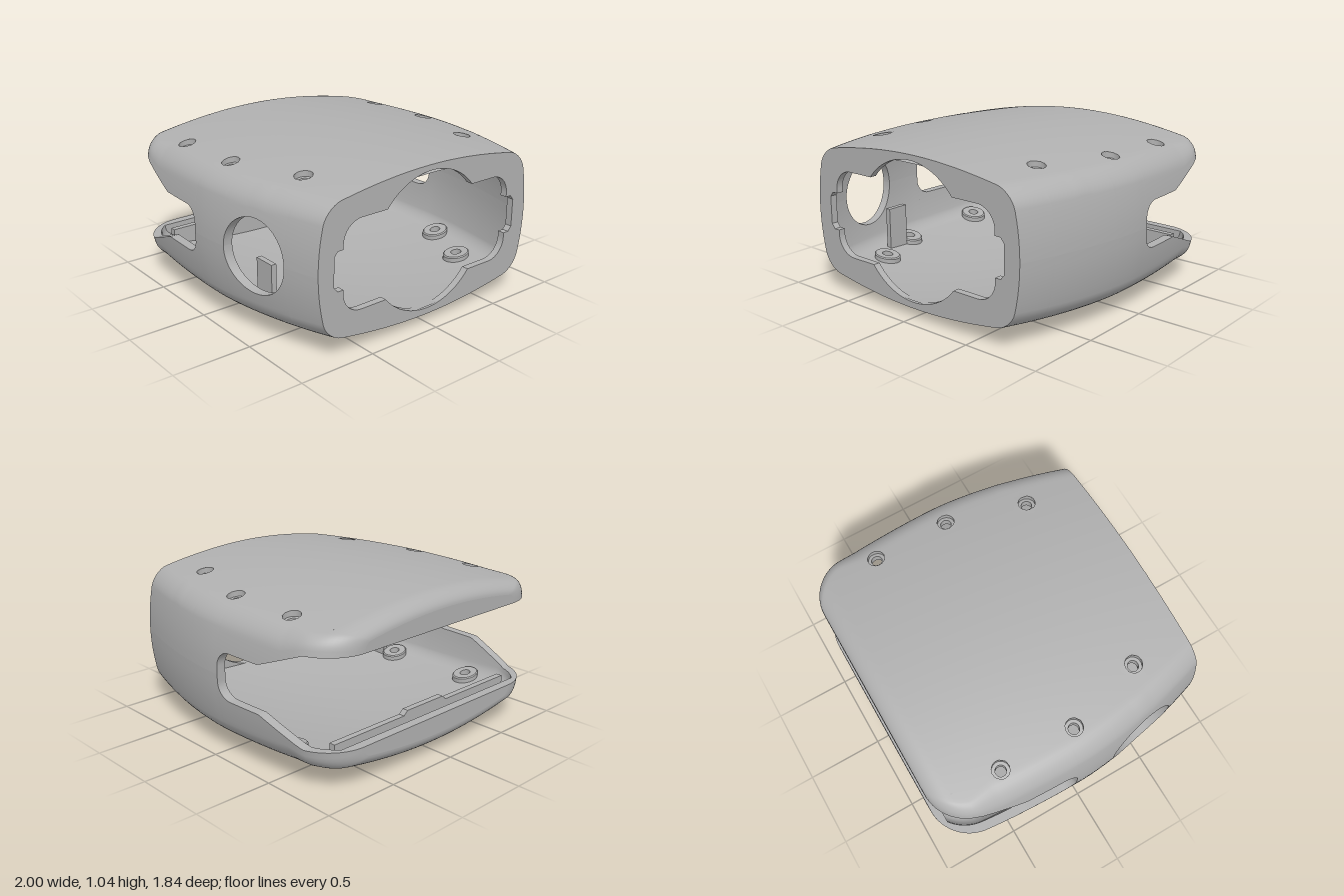
import * as THREE from 'three';

const shellGray = new THREE.MeshStandardMaterial({ color: 0xb0b0b0, side: THREE.DoubleSide });
shellGray.name = 'shell gray';

const MID = 0.54;                       // height of the parting plane
const NOTCH = -0.05;                    // front end of the rear notch
const PORT = { z: 0.467, r: 0.232 };    // round port in the -x wall
const WALL = 0.06, SKIN = 0.05, REAR = -0.86;

// quarter-round falloff used where the shell curls in at the back
const curl = (z, start, len, depth) => {
  const k = Math.min(1, Math.max(0, (-z - start) / len));
  return depth * (1 - Math.sqrt(1 - k * k));
};
const halfWidth = z => z > 0
  ? 1 - 0.175 * (z / 0.92) ** 1.7
  : 1 - 0.06 * (z / 0.92) ** 2 - curl(z, 0.67, 0.25, 0.25);
const halfHeight = (z, s) => (s > 0 ? 0.505 : 0.535)
  - (s > 0 ? 0.035 : 0.06) * (z / 0.92) ** 2 - curl(z, 0.8, 0.12, 0.08);
const skinY = (x, z, s, t) => MID + s * (halfHeight(z, s) - t - 0.12 * (1.075 * x) ** 2);

// half height of the notch opening
function notchGap(z) {
  if (z > NOTCH) return 0;
  if (z > -0.15) return 0.05 + Math.sqrt(Math.max(0, 0.01 - (z + 0.15) ** 2));
  if (z > -0.4) return 0.15;
  return Math.min(0.275, 0.15 + (-0.4 - z) * 0.39);
}

// stations along z: [z, gap on +x, gap on -x]
function makeStations() {
  const list = [];
  const run = (a, b, n) => {
    for (let i = 0; i < n; i++) {
      const z = a + (b - a) * i / n;
      list.push([z, notchGap(z), notchGap(z)]);
    }
  };
  run(0.92, PORT.z + PORT.r, 11);
  for (let i = 0; i < 32; i++) {
    const a = Math.PI * i / 32;
    list.push([PORT.z + PORT.r * Math.cos(a), 0, PORT.r * Math.sin(a)]);
  }
  run(PORT.z - PORT.r, NOTCH, 14);
  list.push([NOTCH, 0, 0]);
  for (let i = 0; i < 8; i++) {
    const a = Math.PI / 2 * i / 8, g = 0.05 + 0.1 * Math.sin(a);
    list.push([-0.15 + 0.1 * Math.cos(a), g, g]);
  }
  run(-0.15, -0.72, 28);
  for (let i = 0; i <= 14; i++) {
    const z = -0.72 - 0.2 * Math.sin(Math.PI / 2 * i / 14);
    list.push([z, 0.275, 0.275]);
  }
  return list;
}

// one half section (s = 1 upper, -1 lower), running from +x over to -x
function section([z0, gPos, gNeg], s, inner) {
  const z = inner ? Math.max(z0, REAR) : z0;
  const W = halfWidth(z) - (inner ? WALL : 0);
  const H = halfHeight(z, s) - (inner ? SKIN : 0);
  const D = 0.12 * W * W;
  const r = Math.min(inner ? 0.06 : 0.1, (H - D - Math.max(gPos, gNeg)) * 0.6);
  const pts = [];
  const add = (px, py) => {
    const dy = py - 0.12 * px * px;
    pts.push(new THREE.Vector3(px * (1 - 0.4 * dy * dy / W), MID + s * dy, z));
  };
  const SIDE = 6, ARC = 7, TOP = 76;
  for (let i = 0; i < SIDE; i++) add(W, gPos + D + (H - r - gPos - D) * i / SIDE);
  for (let i = 0; i < ARC; i++) {
    const a = Math.PI / 2 * i / ARC;
    add(W - r + r * Math.cos(a), H - r + r * Math.sin(a));
  }
  for (let i = 0; i <= TOP; i++) add((W - r) * (1 - 2 * i / TOP), H);
  for (let i = ARC - 1; i >= 0; i--) {
    const a = Math.PI / 2 * i / ARC;
    add(-(W - r + r * Math.cos(a)), H - r + r * Math.sin(a));
  }
  for (let i = SIDE - 1; i >= 0; i--) add(-W, gNeg + D + (H - r - gNeg - D) * i / SIDE);
  return pts;
}

// surface over rows of points; triangles whose corners are all cut are dropped
function gridGeometry(rows, flip, isCut = () => false, skipRow = () => false) {
  const n = rows[0].length, index = [];
  const tri = (a, b, c) => {
    if (!(isCut(a) && isCut(b) && isCut(c))) index.push(...(flip ? [a, c, b] : [a, b, c]));
  };
  for (let i = 0; i < rows.length - 1; i++) {
    if (skipRow(i)) continue;
    for (let j = 0; j < n - 1; j++) {
      const a = i * n + j, b = a + n;
      tri(a, b, a + 1);
      tri(b, b + 1, a + 1);
    }
  }
  const g = new THREE.BufferGeometry().setFromPoints(rows.flat());
  g.setIndex(index);
  g.computeVertexNormals();
  return g;
}

const screwSpots = s => [[0.78, -0.47], [0.78, s > 0 ? 0.03 : 0.19], [0.63, 0.54]]
  .flatMap(([x, z]) => [[x, z], [-x, z]]);

// push points out of each screw hole so its edge becomes a true circle
function cutScrews(rows, s, inner) {
  const R = 0.055, cut = new Set();
  rows.flat().forEach((p, k) => {
    for (const [x, z] of screwSpots(s)) {
      const dx = p.x - x, dz = p.z - z, d = Math.hypot(dx, dz);
      if (d >= R) continue;
      cut.add(k);
      const f = R / Math.max(d, 1e-4);
      p.set(x + (d < 1e-4 ? R : dx * f), 0, z + dz * f);
      p.y = skinY(p.x, p.z, s, inner ? SKIN : 0);
    }
  });
  return k => cut.has(k);
}

// opening of the front panel: slot with side steps and a round middle
function frontOpening() {
  const path = new THREE.Path(), R = 0.435, h = 0.277, a = Math.asin(h / R);
  const corner = (sx, sy) => [
    [0.65, 0.12], [0.69, 0.12], [0.715, 0.09]].map(([x, y]) => [sx * x, MID + sy * y]);
  const link = pts => pts.forEach(([x, y]) => path.lineTo(x, y));
  path.moveTo(0.715, MID);
  link(corner(1, 1).reverse());
  path.absarc(0.52, MID + h - 0.13, 0.13, 0, Math.PI / 2, false);
  path.absarc(0, MID, R, a, Math.PI - a, false);
  path.absarc(-0.52, MID + h - 0.13, 0.13, Math.PI / 2, Math.PI, false);
  link(corner(-1, 1));
  link(corner(-1, -1).reverse());
  path.absarc(-0.52, MID - h + 0.13, 0.13, Math.PI, Math.PI * 1.5, false);
  path.absarc(0, MID, R, Math.PI + a, Math.PI * 2 - a, false);
  path.absarc(0.52, MID - h + 0.13, 0.13, Math.PI * 1.5, Math.PI * 2, false);
  link(corner(1, -1));
  path.closePath();
  return path;
}

// recessed screw seat with its collar inside the shell, following the skin
function screwSeat(x, z, s) {
  const profile = [[0.055, 0], [0.055, 0.035], [0.034, 0.035], [0.034, 0.085], [0.078, 0.085], [0.085, 0.078], [0.085, 0.03]]
    .map(p => new THREE.Vector2(...p));
  // repeat corner points so the edges stay sharp
  const sharp = profile.flatMap(p => [p, p.clone()]).slice(1, -1);
  const g = new THREE.LatheGeometry(sharp, 28).toNonIndexed();
  const pos = g.attributes.position;
  for (let i = 0; i < pos.count; i++) {
    const px = x + pos.getX(i), pz = z + pos.getZ(i);
    pos.setXYZ(i, px, skinY(px, pz, s, 0) - s * pos.getY(i), pz);
  }
  g.computeVertexNormals();
  return g;
}

export function createModel() {
  const model = new THREE.Group();
  model.name = 'housing';
  const add = (name, geometry, parent = model) => {
    const m = new THREE.Mesh(geometry, shellGray);
    m.name = name;
    parent.add(m);
    return m;
  };
  const stations = makeStations();

  for (const s of [1, -1]) {
    const half = new THREE.Group();
    half.name = s > 0 ? 'upperShell' : 'lowerShell';
    model.add(half);

    // outer and inner skins
    const outer = stations.map(t => section(t, s, false));
    const inner = stations.map(t => section(t, s, true));
    add('outerSkin', gridGeometry(outer, s < 0, cutScrews(outer, s, false)), half);
    add('innerSkin', gridGeometry(inner, s > 0, cutScrews(inner, s, true)), half);

    // wall edges around the notch and the side port
    for (const side of [1, 2]) {
      const at = row => side === 1 ? row[0] : row[row.length - 1];
      const rows = outer.map((row, i) => [at(row).clone(), at(inner[i]).clone()]);
      add('openingEdge', gridGeometry(rows, (s > 0) === (side === 1), undefined,
        i => stations[i][side] + stations[i + 1][side] < 1e-6), half);
    }

    // rear wall: outside, inside and the edge between them
    const ends = [outer, inner].map(rows => rows[rows.length - 1]);
    const lip = MID + s * 0.275;
    ends.forEach((row, i) => add('rearWall', gridGeometry(
      [row, row.map(p => new THREE.Vector3(p.x, lip, p.z))], (s > 0) === (i === 1)), half));
    add('rearWallEdge', gridGeometry(
      ends.map(row => [row[0], row[row.length - 1]]), s > 0), half);

    // inner rear rib with a raised centre tab
    const rib = new THREE.Shape([[-0.76, 0.4], [-0.76, 0.275], [-0.19, 0.275], [-0.16, 0.248],
      [0.16, 0.248], [0.19, 0.275], [0.76, 0.275], [0.76, 0.4], [0, 0.46]]
      .map(([x, y]) => new THREE.Vector2(x, MID + s * y)));
    add('rearRib', new THREE.ExtrudeGeometry(rib, { depth: 0.04, bevelEnabled: false }), half)
      .position.z = -0.79;

    for (const [x, z] of screwSpots(s)) add('screwSeat', screwSeat(x, z, s), half);
  }

  // front panel
  const rim = [...section(stations[0], 1, false), ...section(stations[0], -1, false).reverse().slice(1, -1)];
  const face = new THREE.Shape(rim.map(p => new THREE.Vector2(p.x, p.y)));
  face.holes.push(frontOpening());
  add('frontPanel', new THREE.ExtrudeGeometry(face, { depth: 0.045, bevelEnabled: false, curveSegments: 24 }))
    .position.z = 0.875;

  // upright inside, beside the port
  add('innerUpright', new THREE.BoxGeometry(0.035, 0.32, 0.15)).position.set(-0.755, 0.26, 0.335);
  return model;
}
